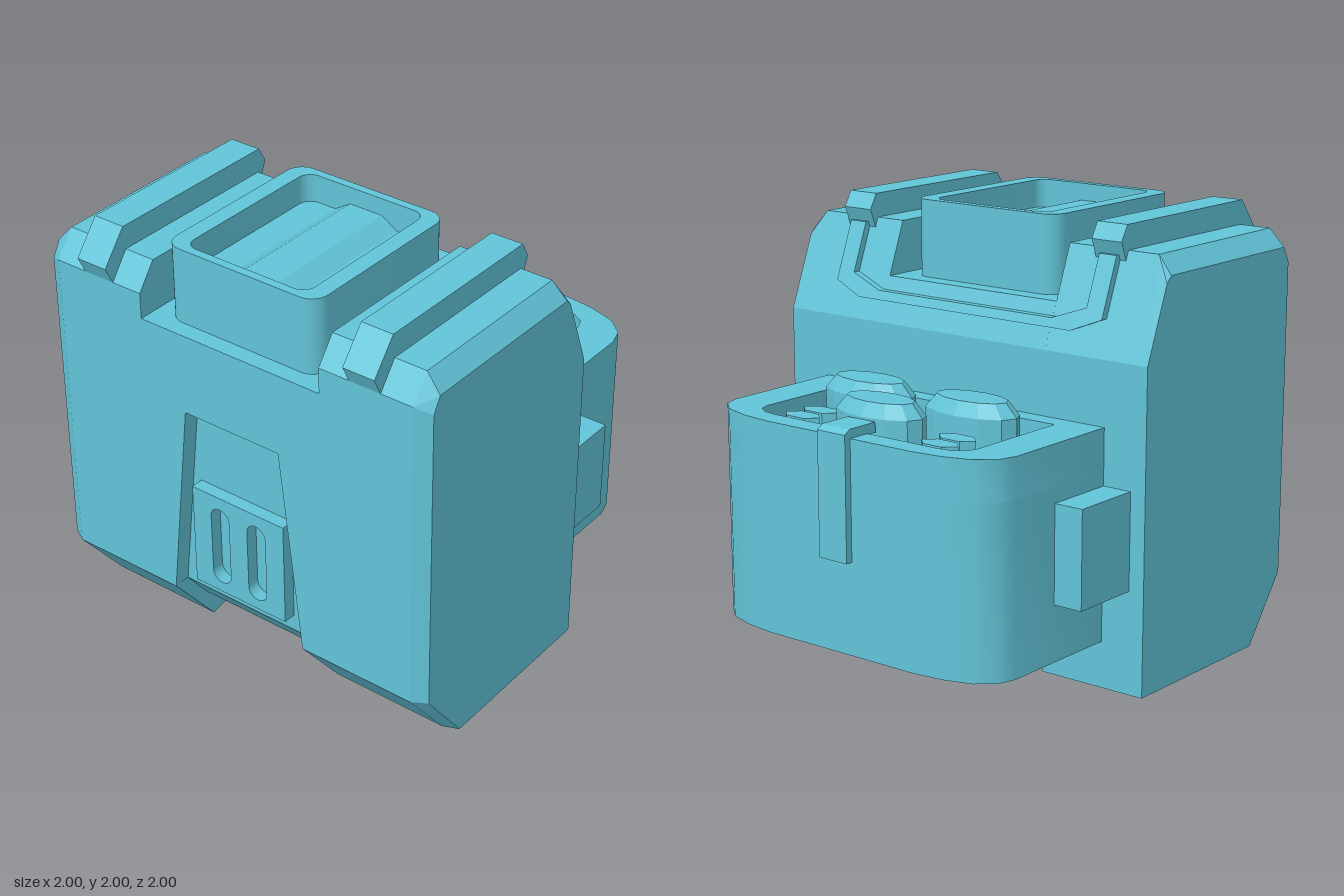
import * as THREE from 'three';
import { toCreasedNormals } from 'three/addons/utils/BufferGeometryUtils.js';
import { ConvexGeometry } from 'three/addons/geometries/ConvexGeometry.js';

export function createModel() {
  const model = new THREE.Group();
  const teal = new THREE.MeshStandardMaterial({ color: 0x62c4d8 });
  teal.name = 'teal';

  const add = (name, geo) => {
    const mesh = new THREE.Mesh(geo, teal);
    mesh.name = name;
    model.add(mesh);
    return mesh;
  };
  const hull = (name, pts) => add(name, new ConvexGeometry(pts.map((p) => new THREE.Vector3(...p))));
  const box = (name, x0, x1, y0, y1, z0, z1) => {
    const mesh = add(name, new THREE.BoxGeometry(x1 - x0, y1 - y0, z1 - z0));
    mesh.position.set((x0 + x1) / 2, (y0 + y1) / 2, (z0 + z1) / 2);
  };
  const atZ = (profile, z) => profile.map(([x, y]) => [x, y, z]);
  const poly = (pts) => new THREE.Shape(pts.map((p) => new THREE.Vector2(...p)));
  // Plan shape raised from y0 to y1
  const raise = (name, shape, y0, y1) => {
    const geo = new THREE.ExtrudeGeometry(shape, { depth: y1 - y0, bevelEnabled: false, curveSegments: 5 });
    geo.rotateX(-Math.PI / 2).translate(0, y0, 0);
    return add(name, toCreasedNormals(geo, 0.6));
  };
  // Shape drawn in z and y, given a thickness towards -x
  const sideways = (shape, depth) =>
    new THREE.ExtrudeGeometry(shape, { depth, bevelEnabled: false }).rotateY(-Math.PI / 2);
  const roundRect = (x0, x1, h, r) => {
    const s = new THREE.Shape();
    s.moveTo(x0 + r, -h);
    s.lineTo(x1 - r, -h);
    s.absarc(x1 - r, -h + r, r, -Math.PI / 2, 0);
    s.absarc(x1 - r, h - r, r, 0, Math.PI / 2);
    s.absarc(x0 + r, h - r, r, Math.PI / 2, Math.PI);
    s.absarc(x0 + r, -h + r, r, Math.PI, Math.PI * 1.5);
    return s;
  };

  // Main body: two side blocks with chamfered outer faces
  const outer = [[-0.96, 0.3], [-0.72, 0], [0.16, 0], [0.16, 1.45], [-0.01, 1.89], [-0.87, 1.89], [-0.96, 1.77]];
  const inner = [[-0.92, 0.3], [-0.69, 0], [0.16, 0], [0.16, 1.45], [0.03, 1.78], [0, 1.81], [-0.88, 1.81], [-0.92, 1.74]];
  const strap = [[-0.96, 1.77], [-1, 1.85], [-0.88, 2], [0, 2], [0.04, 1.93], [0, 1.83]];
  for (const s of [1, -1]) {
    hull('sideBody', [...atZ(outer, s * 0.47), ...atZ(outer, s * 0.93), ...atZ(inner, s)]);
    hull('topStrap', [...atZ(strap, s * 0.62), ...atZ(strap, s * 0.775)]);
    // Tapered walls of the channel under the body
    hull('channelWall', [[0, -0.72], [0.3, -0.96]].flatMap(([y, x]) => [
      [0.16, y, s * 0.47], [0.16, y, s * 0.468], [x, y, s * 0.36], [x, y, s * 0.47]]));
  }

  // Lower middle of the body, with a recessed panel on the -x face
  const core = [[-0.88, 0.3], [-0.745, 0.13], [0.16, 0.13], [0.16, 1.45], [0.083, 1.65], [-0.88, 1.65]];
  hull('middleBody', [...atZ(core, 0.47), ...atZ(core, -0.47)]);
  add('recessFrame', sideways(poly([
    [-0.47, 0.3], [-0.36, 0.3], [-0.25, 1.27], [0.25, 1.27], [0.36, 0.3], [0.47, 0.3], [0.47, 1.65], [-0.47, 1.65],
  ]), 0.08).translate(-0.88, 0, 0));

  // Vent with two rounded slots
  const vent = poly([[-0.25, 0.38], [0.25, 0.38], [0.25, 0.88], [-0.25, 0.88]]);
  for (const z of [-0.1, 0.1]) {
    const slot = new THREE.Path();
    slot.absarc(z, 0.77, 0.05, 0, Math.PI);
    slot.absarc(z, 0.48, 0.05, Math.PI, Math.PI * 2);
    vent.holes.push(slot);
  }
  add('vent', sideways(vent, 0.06).translate(-0.88, 0, 0));

  // Thin U-shaped band lying on the sloped face
  const band = sideways(poly([
    [0.745, 1.87], [0.655, 1.87], [0.655, 1.65], [0.487, 1.59], [-0.487, 1.59], [-0.655, 1.65], [-0.655, 1.87],
    [-0.745, 1.87], [-0.745, 1.61], [-0.595, 1.55], [0.595, 1.55], [0.745, 1.61],
  ]), 0.06);
  const bp = band.attributes.position;
  for (let i = 0; i < bp.count; i++) bp.setX(i, bp.getX(i) + 0.195 - (bp.getY(i) - 1.45) * 0.386);
  band.computeVertexNormals();
  add('slopeBand', band);

  // Rounded top housing with a ridged floor
  const rim = roundRect(-0.88, 0, 0.395, 0.08);
  rim.holes.push(roundRect(-0.84, -0.04, 0.315, 0.06));
  raise('topHousing', rim, 1.65, 2);
  raise('housingFloor', roundRect(-0.86, -0.02, 0.35, 0.06), 1.65, 1.87);
  const ridge = [[-0.165, 1.87], [-0.085, 1.92], [0.085, 1.92], [0.165, 1.87]];
  hull('floorRidge', [-0.845, -0.035].flatMap((x) => ridge.map(([z, y]) => [x, y, z])));

  // Side container with rounded outer corners and an open tray
  const mirrored = (half) => [...half, ...half.map(([x, z]) => [x, -z]).reverse()];
  const plan = mirrored([[0.16, -0.785], [0.76, -0.785], [0.84, -0.76], [0.91, -0.68], [0.95, -0.55], [0.967, -0.4]]);
  const tray = mirrored([[0.25, -0.59], [0.77, -0.59], [0.82, -0.57], [0.85, -0.52], [0.86, -0.45]]);
  raise('containerBase', poly(plan), 0.21, 0.98);
  const wall = poly(plan);
  wall.holes.push(poly(tray));
  raise('containerRim', wall, 0.98, 1.16);
  box('sideBlocks', 0.15, 0.5, 0.465, 0.905, -0.925, 0.925);

  // Clip folded over the container rim
  box('clipTop', 0.81, 0.97, 1.155, 1.2, -0.077, 0.077);
  const clip = [[0.95, 0.625], [1, 0.625], [1, 1.18], [0.97, 1.2], [0.95, 1.2]];
  hull('clipFront', [...atZ(clip, -0.077), ...atZ(clip, 0.077)]);

  // Oval ring of n corners at height y
  const oval = (n, cx, cz, rx, rz, y) => Array.from({ length: n }, (_, i) => {
    const a = (i / n) * Math.PI * 2;
    return [cx + Math.sin(a) * rx, y, cz + Math.cos(a) * rz];
  });
  for (const [x, z, r] of [[0.43, -0.29, 0.24], [0.43, 0.285, 0.24], [0.685, 0, 0.23]]) {
    hull('ovalKnob', [...oval(12, x, z, 0.125, r, 0.97), ...oval(12, x, z, 0.125, r, 1.21),
      ...oval(12, x, z, 0.09, r * 0.76, 1.27)]);
  }
  for (const s of [1, -1]) {
    box('pegShelf', 0.57, 0.84, 0.97, 1.04, Math.min(s * 0.28, s * 0.58), Math.max(s * 0.28, s * 0.58));
    for (const x of [0.645, 0.76]) {
      hull('pegStem', [...oval(6, x, s * 0.385, 0.04, 0.07, 1.03), ...oval(6, x, s * 0.385, 0.04, 0.07, 1.12)]);
      hull('pegCap', [...oval(6, x, s * 0.385, 0.056, 0.1, 1.1), ...oval(6, x, s * 0.385, 0.056, 0.1, 1.15)]);
    }
  }
  return model;
}
